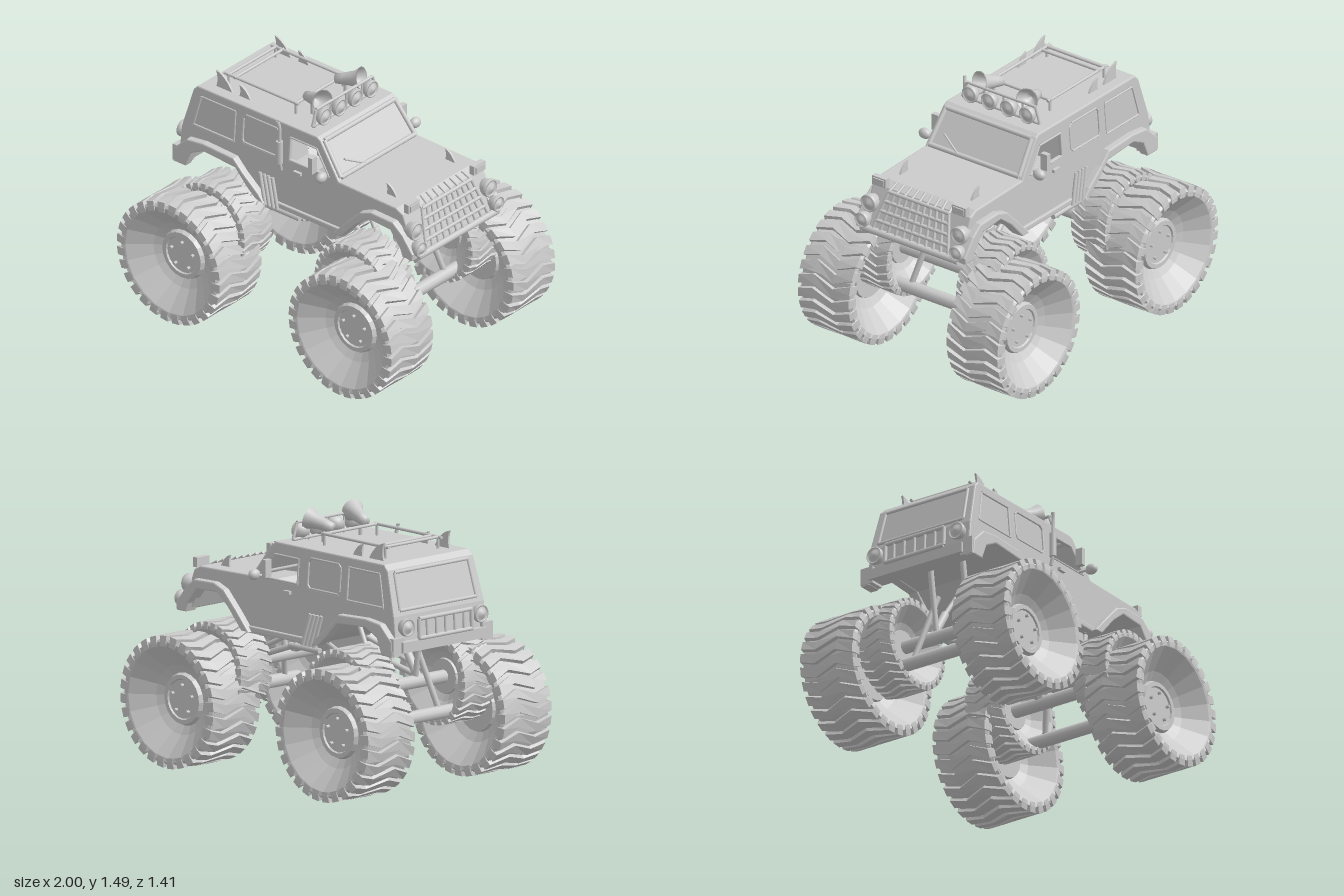
import * as THREE from 'three';
import { mergeGeometries } from 'three/addons/utils/BufferGeometryUtils.js';

const V = (x, y, z) => new THREE.Vector3(x, y, z);
const smooth = new THREE.MeshStandardMaterial({ color: 0xcccccc, side: THREE.DoubleSide });
const flat = new THREE.MeshStandardMaterial({ color: 0xcccccc, side: THREE.DoubleSide, flatShading: true });
const SIDES = [1, -1];
// the cabin leans inwards above the waistline
const lean = y => Math.max(0, y - 1.05) * 0.08;

function add(parent, name, geo, pos = [0, 0, 0], rot = [0, 0, 0], mat = smooth) {
  const m = new THREE.Mesh(geo, mat);
  m.name = name;
  m.position.set(...pos);
  m.rotation.set(...rot);
  parent.add(m);
  return m;
}

// straight round bar between two points
function rod(parent, name, a, b, r, r2 = r) {
  const A = V(...a), d = V(...b).sub(A);
  const m = add(parent, name, new THREE.CylinderGeometry(r2, r, d.length(), 10), A.clone().addScaledVector(d, 0.5).toArray());
  m.quaternion.setFromUnitVectors(V(0, 1, 0), d.normalize());
  return m;
}
const loop = (parent, name, pts, r) => pts.forEach((p, i) => rod(parent, name, p, pts[(i + 1) % pts.length], r));

// outline in x,y pushed out between z0 and z1 on side s
function panel(parent, name, pts, holes, z0, z1, s, bevel = 0.008) {
  const shape = new THREE.Shape(pts.map(p => new THREE.Vector2(...p)));
  holes.forEach(h => shape.holes.push(new THREE.Path(h.map(p => new THREE.Vector2(...p)))));
  const geo = new THREE.ExtrudeGeometry(shape, {
    depth: z1 - z0 - 2 * bevel, bevelEnabled: bevel > 0, bevelSize: bevel,
    bevelThickness: bevel, bevelOffset: -bevel, bevelSegments: 2
  });
  geo.translate(0, 0, (s > 0 ? z0 : -z1) + bevel);
  const p = geo.attributes.position;
  for (let i = 0; i < p.count; i++) p.setZ(i, p.getZ(i) - s * lean(p.getY(i)));
  return add(parent, name, geo);
}

// sheet across the car that follows a closed outline
function skin(outline, w) {
  const pos = [];
  outline.forEach((a, i) => {
    const b = outline[(i + 1) % outline.length], wa = w - lean(a[1]), wb = w - lean(b[1]);
    pos.push(...a, -wa, ...a, wa, ...b, wb, ...a, -wa, ...b, wb, ...b, -wb);
  });
  const g = new THREE.BufferGeometry();
  g.setAttribute('position', new THREE.Float32BufferAttribute(pos, 3));
  g.computeVertexNormals();
  return g;
}

// one zigzag tread block, wrapping over both shoulders
function treadBlock(angle, s) {
  let st = [[-0.184, 0, 0.34], [-0.178, 0, 0.375], [-0.06, -0.13, 0.375], [0.08, 0, 0.375], [0.178, -0.08, 0.375], [0.184, -0.08, 0.34]];
  if (s < 0) st = st.map(([z, a, r]) => [-z, a, r]).reverse();
  const pos = [], idx = [], half = 0.078;
  st.forEach(([z, a, r], i) => {
    [[-half, r - 0.025], [half, r - 0.025], [half * 0.9, r], [-half * 0.9, r]].forEach(([d, q]) =>
      pos.push(q * Math.cos(angle + a + d), q * Math.sin(angle + a + d), z));
    if (i) for (let k = 0; k < 4; k++) {
      const a0 = 4 * i - 4 + k, b0 = 4 * i - 4 + (k + 1) % 4;
      idx.push(a0, a0 + 4, b0, b0, a0 + 4, b0 + 4);
    }
  });
  const e = 4 * (st.length - 1);
  idx.push(0, 1, 2, 0, 2, 3, e, e + 2, e + 1, e, e + 3, e + 2);
  // corners run clockwise seen along the axle, so turn each face outward
  for (let i = 0; i < idx.length - 12; i += 3) [idx[i + 1], idx[i + 2]] = [idx[i + 2], idx[i + 1]];
  const g = new THREE.BufferGeometry();
  g.setAttribute('position', new THREE.Float32BufferAttribute(pos, 3));
  g.setIndex(idx);
  const out = g.toNonIndexed();
  out.computeVertexNormals();
  return out;
}

function wheel(parent, name, pos, scale, s) {
  const g = new THREE.Group();
  g.name = name;
  g.position.set(...pos);
  g.scale.set(...scale);
  parent.add(g);
  const prof = [[0, -0.05], [0.14, -0.05], [0.145, -0.03], [0.2, -0.06], [0.32, -0.17], [0.342, -0.178], [0.356, -0.165],
    [0.356, 0.165], [0.342, 0.178], [0.32, 0.17], [0.2, 0.07], [0.15, 0.04], [0.14, 0.065], [0.115, 0.065], [0.11, 0.055], [0, 0.055]];
  const pts = prof.map(([r, h]) => new THREE.Vector2(r, h * s));
  if (s < 0) pts.reverse();
  add(g, 'tyreAndRim', new THREE.LatheGeometry(pts, 20), [0, 0, 0], [Math.PI / 2, 0, 0], flat);
  add(g, 'tread', mergeGeometries(Array.from({ length: 28 }, (_, i) => treadBlock(i * Math.PI / 14, s))), [0, 0, 0], [0, 0, 0], flat);
  for (let i = 0; i < 5; i++) {
    const a = Math.PI / 2 + i * Math.PI * 0.4;
    add(g, 'wheelNut', new THREE.CylinderGeometry(0.01, 0.01, 0.03, 6), [0.08 * Math.cos(a), 0.08 * Math.sin(a), s * 0.06], [Math.PI / 2, 0, 0]);
  }
}

// round lamp facing along x (dir = 1 forward, -1 back)
function lamp(parent, name, pos, r, depth, dir = 1) {
  const prof = [[0, -depth], [r * 0.6, -depth], [r, -0.01], [r, 0.01], [r * 0.85, 0.012], [r * 0.8, 0], [r * 0.5, 0.015], [0, 0.022]];
  add(parent, name, new THREE.LatheGeometry(prof.map(p => new THREE.Vector2(...p)), 20), pos, [0, 0, -dir * Math.PI / 2]);
}

function fin(parent, name, x, y, z, len, h) {
  const sh = new THREE.Shape();
  sh.moveTo(0, 0);
  sh.lineTo(len, 0);
  sh.quadraticCurveTo(len * 0.6, h * 0.85, 0, h);
  sh.quadraticCurveTo(len * 0.18, h * 0.5, 0, 0);
  const geo = new THREE.ExtrudeGeometry(sh, { depth: 0.012, bevelEnabled: false });
  add(parent, name, geo, [x, y, z - 0.006]);
}

export function createModel() {
  const car = new THREE.Group();
  car.name = 'monsterTruck';

  // body shell
  const outline = [[-0.85, 0.83], [-0.83, 1.03], [-0.76, 1.28], [-0.73, 1.31], [0.14, 1.31], [0.165, 1.295], [0.31, 1.095], [0.73, 1.085],
    [0.78, 1.06], [0.865, 0.84], [0.8, 0.84], [0.73, 0.97], [0.55, 0.98], [0.44, 0.88], [0.33, 0.79], [-0.18, 0.78], [-0.28, 0.84],
    [-0.4, 0.94], [-0.64, 0.955], [-0.74, 0.91], [-0.77, 0.83]];
  const rearWin = [[-0.745, 1.07], [-0.45, 1.07], [-0.45, 1.255], [-0.7, 1.255]];
  const midWin = [[-0.38, 1.09], [-0.15, 1.09], [-0.13, 1.11], [-0.13, 1.24], [-0.15, 1.26], [-0.37, 1.26], [-0.39, 1.24], [-0.39, 1.11]];
  const frontWin = [[-0.05, 1.1], [0.24, 1.1], [0.14, 1.24], [-0.05, 1.24]];
  add(car, 'bodySkin', skin(outline, 0.335), [0, 0, 0], [0, 0, 0], flat);

  const rearArch = [[-0.86, 0.81], [-0.85, 0.9], [-0.76, 0.985], [-0.64, 1.0], [-0.42, 0.99], [-0.35, 0.92], [-0.24, 0.83], [-0.2, 0.78],
    [-0.26, 0.79], [-0.32, 0.84], [-0.41, 0.935], [-0.64, 0.95], [-0.73, 0.905], [-0.77, 0.81]];
  const frontArch = [[0.3, 0.78], [0.4, 0.89], [0.5, 0.99], [0.58, 1.02], [0.74, 1.015], [0.81, 0.96], [0.885, 0.86], [0.88, 0.82],
    [0.81, 0.82], [0.79, 0.87], [0.72, 0.96], [0.56, 0.97], [0.47, 0.9], [0.36, 0.78]];

  for (const s of SIDES) {
    panel(car, 'sidePanel', outline, [rearWin, midWin, frontWin], 0.318, 0.345, s);
    panel(car, 'rearSideWindow', rearWin, [], 0.322, 0.336, s, 0);
    panel(car, 'middleSideWindow', midWin, [], 0.322, 0.336, s, 0);
    for (const w of [rearWin, midWin, frontWin])
      loop(car, 'windowTrim', w.map(([x, y]) => [x, y, s * (0.344 - lean(y))]), 0.006);
    panel(car, 'rearFlare', rearArch, [], 0.325, 0.385, s);
    panel(car, 'frontFlare', frontArch, [], 0.3, 0.385, s);
    panel(car, 'sill', [[-0.2, 0.775], [0.31, 0.775], [0.33, 0.81], [-0.22, 0.81]], [], 0.32, 0.36, s);
    add(car, 'doorHandle', new THREE.BoxGeometry(0.05, 0.018, 0.02), [0.02, 1.045, s * 0.352]);

    // mirrors
    add(car, 'doorMirror', new THREE.BoxGeometry(0.03, 0.1, 0.045), [0.155, 1.165, s * 0.382]);
    rod(car, 'mirrorArm', [0.19, 1.1, s * 0.33], [0.23, 1.12, s * 0.39], 0.008);
    add(car, 'eggMirror', new THREE.SphereGeometry(0.035, 16, 10), [0.235, 1.12, s * 0.4]).scale.set(0.8, 0.9, 1.1);

    // slanted side pipes and step
    for (let i = 0; i < 4; i++)
      rod(car, 'sidePipe', [-0.255 + i * 0.03, 0.95, s * 0.35], [-0.205 + i * 0.03, 0.77, s * 0.365], 0.011);
    rod(car, 'stepBar', [-0.22, 0.745, s * 0.33], [0.02, 0.745, s * 0.33], 0.017);
    for (const x of [-0.18, -0.02]) rod(car, 'stepBracket', [x, 0.745, s * 0.33], [x, 0.79, s * 0.32], 0.01);

    // front lamps
    lamp(car, 'headlight', [0.85, 0.97, s * 0.315], 0.052, 0.08);
    lamp(car, 'fogLight', [0.895, 0.88, s * 0.33], 0.045, 0.06);
    add(car, 'hoodLamp', new THREE.BoxGeometry(0.035, 0.055, 0.095), [0.79, 1.095, s * 0.28]);
    add(car, 'hoodLampGlass', new THREE.BoxGeometry(0.01, 0.038, 0.075), [0.81, 1.095, s * 0.28]);

    // rear lamps and bumper corners
    lamp(car, 'tailLight', [-0.87, 0.97, s * 0.28], 0.05, 0.06, -1);
    add(car, 'rearBumperCorner', new THREE.BoxGeometry(0.09, 0.1, 0.08), [-0.82, 0.865, s * 0.34]);

    // roof and hood fins
    fin(car, 'tallRoofFin', -0.655, 1.305, s * 0.25, 0.12, 0.105);
    fin(car, 'smallRoofFin', -0.485, 1.305, s * 0.25, 0.08, 0.075);
    fin(car, 'hoodFin', 0.585, 1.08, s * 0.25, 0.075, 0.075);

    // horns
    const prof = [[0, 0], [0.028, 0], [0.034, 0.05], [0.045, 0.12], [0.066, 0.16], [0.06, 0.16], [0.035, 0.1], [0, 0.08]];
    const horn = add(car, 'horn', new THREE.LatheGeometry(prof.map(p => new THREE.Vector2(...p)), 20), [-0.105, 1.395, s * 0.125]);
    horn.quaternion.setFromUnitVectors(V(0, 1, 0), V(0.93, 0.24, s * 0.26).normalize());
    rod(car, 'hornStand', [-0.05, 1.31, s * 0.14], [-0.05, 1.4, s * 0.14], 0.012);

    // seats
    add(car, 'seat', new THREE.BoxGeometry(0.18, 0.12, 0.2), [-0.08, 0.92, s * 0.16]);
    add(car, 'seatBack', new THREE.BoxGeometry(0.05, 0.24, 0.2), [-0.18, 1.02, s * 0.16], [0, 0, 0.15]);
  }

  // windscreen and rear window surrounds
  const ring = (name, lo, hi, wl, wh, r) =>
    loop(car, name, [[...lo, -wl], [...lo, wl], [...hi, wh], [...hi, -wh]], r);
  ring('windscreenFrame', [0.305, 1.11], [0.172, 1.29], 0.315, 0.3, 0.014);
  ring('rearWindowFrame', [-0.822, 1.06], [-0.765, 1.265], 0.29, 0.28, 0.01);
  rod(car, 'wiper', [0.315, 1.11, 0.1], [0.265, 1.18, 0.24], 0.006);
  add(car, 'steeringWheel', new THREE.TorusGeometry(0.05, 0.009, 8, 18), [0.16, 1.09, 0.16], [0, Math.PI / 2 - 0.3, 0]);

  // grille guard leaning forward
  const guard = (t, u) => [0.805 + 0.08 * t, 1.055 - 0.22 * t, u * (0.21 + 0.055 * t)];
  for (let i = 0; i <= 10; i++) rod(car, 'grilleBar', guard(0, i / 5 - 1), guard(1, i / 5 - 1), 0.009);
  for (let i = 0; i <= 4; i++) rod(car, 'grilleCrossBar', guard(i / 4, -1), guard(i / 4, 1), 0.011);
  for (let i = 0; i <= 8; i++) rod(car, 'hoodGrilleBar', [0.745, 1.09, (i / 4 - 1) * 0.2], guard(0, i / 4 - 1), 0.008);
  rod(car, 'frontBumper', [0.885, 0.83, -0.34], [0.885, 0.83, 0.34], 0.02);

  // rear bumper and guard
  add(car, 'rearBumper', new THREE.BoxGeometry(0.05, 0.06, 0.64), [-0.855, 0.86, 0]);
  ring('rearGuard', [-0.885, 0.9], [-0.88, 1.01], 0.2, 0.2, 0.012);
  for (let i = -2; i <= 2; i++) rod(car, 'rearGuardBar', [-0.885, 0.9, i * 0.07], [-0.88, 1.01, i * 0.07], 0.008);

  // roof light bar
  ring('lightBar', [0.06, 1.325], [0.06, 1.42], 0.27, 0.24, 0.009);
  for (const z of [-0.2, -0.067, 0.067, 0.2]) {
    lamp(car, 'roofLight', [0.085, 1.367, z], 0.05, 0.05);
    rod(car, 'lightPost', [0.06, 1.31, z + 0.05], [0.06, 1.42, z + 0.05], 0.006);
  }

  // roof rack
  for (const s of SIDES) {
    rod(car, 'rackRail', [-0.64, 1.375, s * 0.2], [-0.1, 1.375, s * 0.2], 0.009);
    for (const x of [-0.61, -0.12]) rod(car, 'rackPost', [x, 1.31, s * 0.2], [x, 1.375, s * 0.2], 0.008);
  }
  for (const x of [-0.61, -0.56, -0.12]) rod(car, 'rackCrossBar', [x, 1.375, -0.21], [x, 1.375, 0.21], 0.009);

  // exhaust stack on one side
  rod(car, 'stackMuffler', [-0.092, 1.08, 0.375], [-0.092, 1.22, 0.375], 0.02);
  rod(car, 'stackFoot', [-0.092, 1.03, 0.36], [-0.092, 1.09, 0.375], 0.01);
  const stack = new THREE.CatmullRomCurve3([V(-0.092, 1.2, 0.375), V(-0.092, 1.31, 0.375), V(-0.1, 1.345, 0.38)]);
  add(car, 'stackPipe', new THREE.TubeGeometry(stack, 10, 0.01, 8));

  // belly pan, narrowing downwards
  const belly = new THREE.BoxGeometry(0.4, 0.11, 0.36), bp = belly.attributes.position;
  for (let i = 0; i < bp.count; i++) if (bp.getY(i) < 0) bp.setXYZ(i, bp.getX(i) * 0.65, bp.getY(i), bp.getZ(i) * 0.6);
  belly.computeVertexNormals();
  add(car, 'bellyPan', belly, [0.07, 0.735, 0], [0, 0, 0], flat);

  // wheels, axles and suspension, mirrored front to back
  for (const e of SIDES) {
    const xo = 0.625 * e, xi = 0.52 * e;
    rod(car, 'lowerAxle', [xo, 0.385, -0.54], [xo, 0.385, 0.54], 0.038);
    rod(car, 'upperAxle', [xi, 0.555, -0.4], [xi, 0.555, 0.4], 0.038);
    for (const s of SIDES) {
      wheel(car, 'mainWheel', [xo, 0.38, s * 0.52], [1, 1, 1], s);
      wheel(car, 'innerWheel', [xi, 0.555, s * 0.362], [0.707, 0.707, 0.67], s);
      rod(car, 'trailingLink', [0.07 + e * 0.1, 0.7, s * 0.1], [xi, 0.57, s * 0.16], 0.017);
      rod(car, 'outerLink', [0.07 + e * 0.14, 0.75, s * 0.14], [xi, 0.6, s * 0.2], 0.013);
      rod(car, 'shockBody', [xi, 0.56, s * 0.14], [e * 0.4, 0.75, s * 0.14], 0.024);
      rod(car, 'shockRod', [e * 0.4, 0.75, s * 0.14], [e * 0.31, 0.89, s * 0.12], 0.014);
      rod(car, 'axleStrut', [xo, 0.385, s * 0.2], [xi, 0.8, s * 0.1], 0.017);
      rod(car, 'upperStrut', [xi, 0.555, s * 0.11], [xi + e * 0.06, 0.96, s * 0.11], 0.017);
    }
  }
  return car;
}
